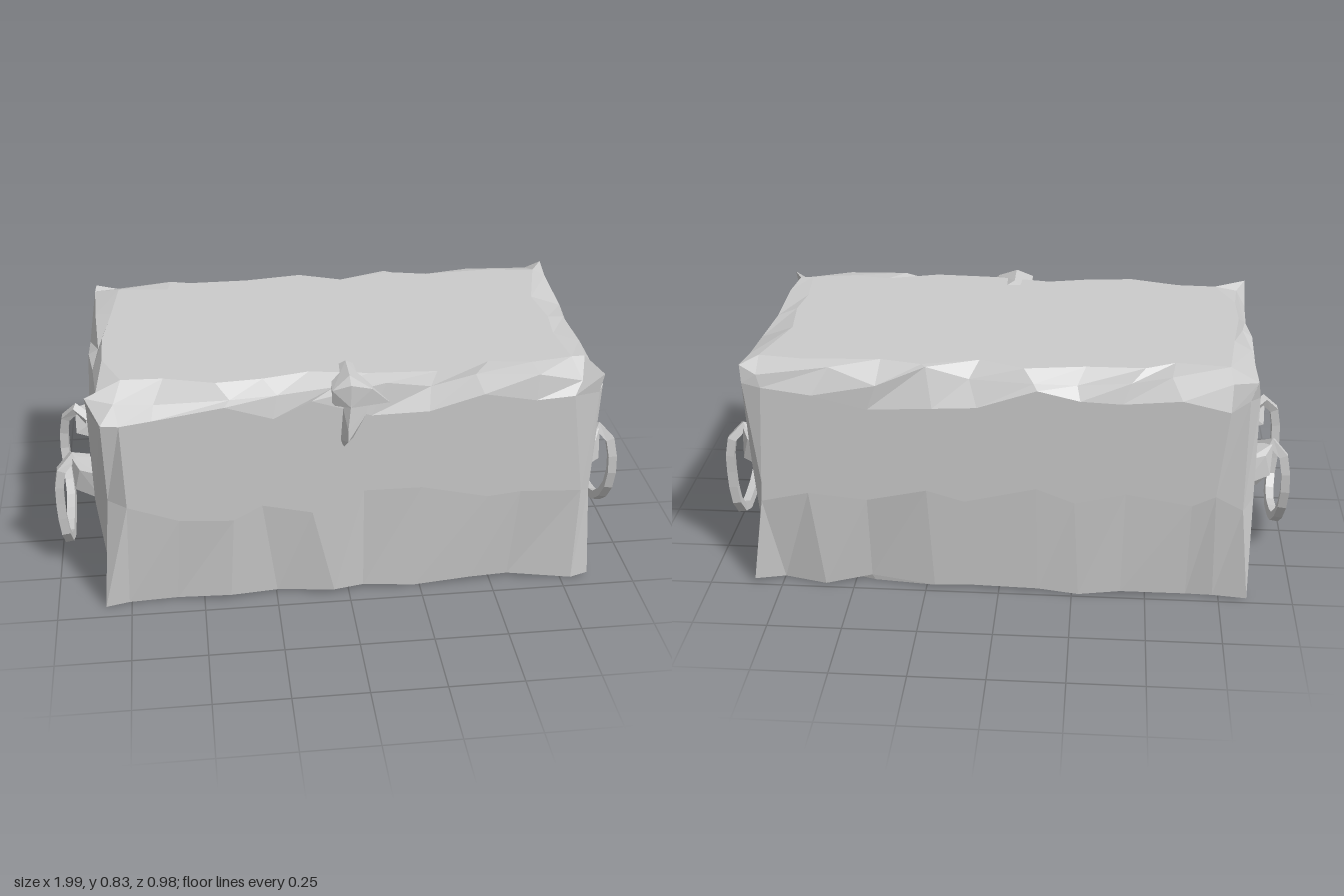
import * as THREE from 'three';
import { ConvexGeometry } from 'three/addons/geometries/ConvexGeometry.js';

const material = new THREE.MeshStandardMaterial({ color: 0xcccccc, flatShading: true });

function addMesh(parent, name, geometry) {
  const mesh = new THREE.Mesh(geometry, material);
  mesh.name = name;
  parent.add(mesh);
  return mesh;
}

// Repeatable 0..1 value for a grid corner
function hash(i, j, k, seed) {
  const s = Math.sin(i * 12.9898 + j * 78.233 + k * 37.719 + seed * 19.19) * 43758.5453;
  return s - Math.floor(s);
}

// Rough block: flat faces with chipped, wavering edges
function roughBody() {
  const lines = [
    [-0.85, -0.76, -0.6, -0.43, -0.26, -0.09, 0.09, 0.26, 0.43, 0.6, 0.76, 0.85],
    [0, 0.37, 0.72, 0.82],
    [-0.49, -0.4, -0.18, 0.0, 0.18, 0.37, 0.455],
  ];
  const n = lines.map((l) => l.length - 1);
  const geometry = new THREE.BoxGeometry(1, 1, 1, ...n).toNonIndexed();
  const p = geometry.attributes.position;
  for (let v = 0; v < p.count; v++) {
    const id = [p.getX(v), p.getY(v), p.getZ(v)].map((c, a) => Math.round((c + 0.5) * n[a]));
    const onFace = id.map((i, a) => i === 0 || i === n[a]);
    const faces = onFace.filter(Boolean).length;
    const out = id.map((i, a) => {
      const h = hash(...id, a + 1);
      if (!onFace[a]) return lines[a][i] + (h - 0.5) * 0.09;
      if (faces === 1) return lines[a][i];
      // Chip depth: corners little, the lower rim mostly sideways
      let depth = faces === 3 ? 0.02 : 0.05;
      if (faces === 2 && a === 1) depth = i === 0 ? 0.02 : 0.065;
      return lines[a][i] + (i === 0 ? 1 : -1) * depth * h;
    });
    p.setXYZ(v, ...out);
  }
  geometry.computeVertexNormals();
  return geometry;
}

function hull(points) {
  return new ConvexGeometry(points.map((q) => new THREE.Vector3(...q)));
}

// Side handle for +x: two brackets, a centre knob and a hanging loop
function makeHandle() {
  const handle = new THREE.Group();
  for (const s of [1, -1]) {
    addMesh(handle, 'handleBracket', hull([
      [0.83, 0.34, s * 0.29], [0.83, 0.43, s * 0.28], [0.83, 0.33, s * 0.14], [0.83, 0.43, s * 0.15],
      [0.92, 0.35, s * 0.23], [0.9, 0.43, s * 0.24], [0.93, 0.45, s * 0.18], [0.93, 0.36, s * 0.15],
    ]));
  }
  addMesh(handle, 'centreKnob', hull([
    [0.83, 0.29, 0.09], [0.83, 0.22, 0.09], [0.83, 0.19, 0.04], [0.83, 0.23, -0.09],
    [0.83, 0.3, -0.05], [0.91, 0.3, 0.0], [0.93, 0.25, 0.05], [0.93, 0.25, -0.03], [0.9, 0.21, 0.04],
  ]));
  addMesh(handle, 'knobBrace', hull([
    [0.83, 0.32, -0.05], [0.83, 0.27, -0.06], [0.83, 0.33, -0.2], [0.83, 0.4, -0.17],
    [0.9, 0.31, -0.07], [0.9, 0.36, -0.17],
  ]));
  const path = new THREE.CatmullRomCurve3([
    [0.88, 0.42, 0.14], [0.92, 0.45, 0.17], [0.965, 0.41, 0.19], [0.98, 0.3, 0.205],
    [0.975, 0.2, 0.185], [0.965, 0.12, 0.11], [0.965, 0.085, 0], [0.965, 0.08, -0.1],
    [0.97, 0.13, -0.17], [0.98, 0.26, -0.185], [0.965, 0.41, -0.19], [0.92, 0.45, -0.17],
    [0.88, 0.42, -0.14],
  ].map((q) => new THREE.Vector3(...q)));
  addMesh(handle, 'handleLoop', new THREE.TubeGeometry(path, 18, 0.021, 4, false));
  return handle;
}

export function createModel() {
  const model = new THREE.Group();
  model.name = 'chest';
  addMesh(model, 'body', roughBody());

  // Clasp: a flap over the front rim and a pointed hasp below it
  addMesh(model, 'claspFlap', hull([
    [-0.05, 0.8, 0.3], [0.06, 0.8, 0.3], [0, 0.835, 0.32], [0, 0.835, 0.43], [-0.06, 0.8, 0.465],
    [0.07, 0.8, 0.465], [0, 0.82, 0.475], [-0.06, 0.74, 0.45], [0.13, 0.74, 0.45], [0, 0.74, 0.475],
  ]));
  addMesh(model, 'claspHasp', hull([
    [-0.03, 0.76, 0.44], [0.08, 0.74, 0.44], [0, 0.75, 0.475], [-0.04, 0.61, 0.44],
    [0.02, 0.62, 0.44], [-0.01, 0.62, 0.487], [-0.01, 0.66, 0.485], [-0.02, 0.59, 0.46],
  ]));

  // Matching handles on both ends
  const left = makeHandle();
  left.name = 'leftHandle';
  const right = makeHandle();
  right.name = 'rightHandle';
  right.rotation.y = Math.PI;
  model.add(left, right);
  return model;
}
